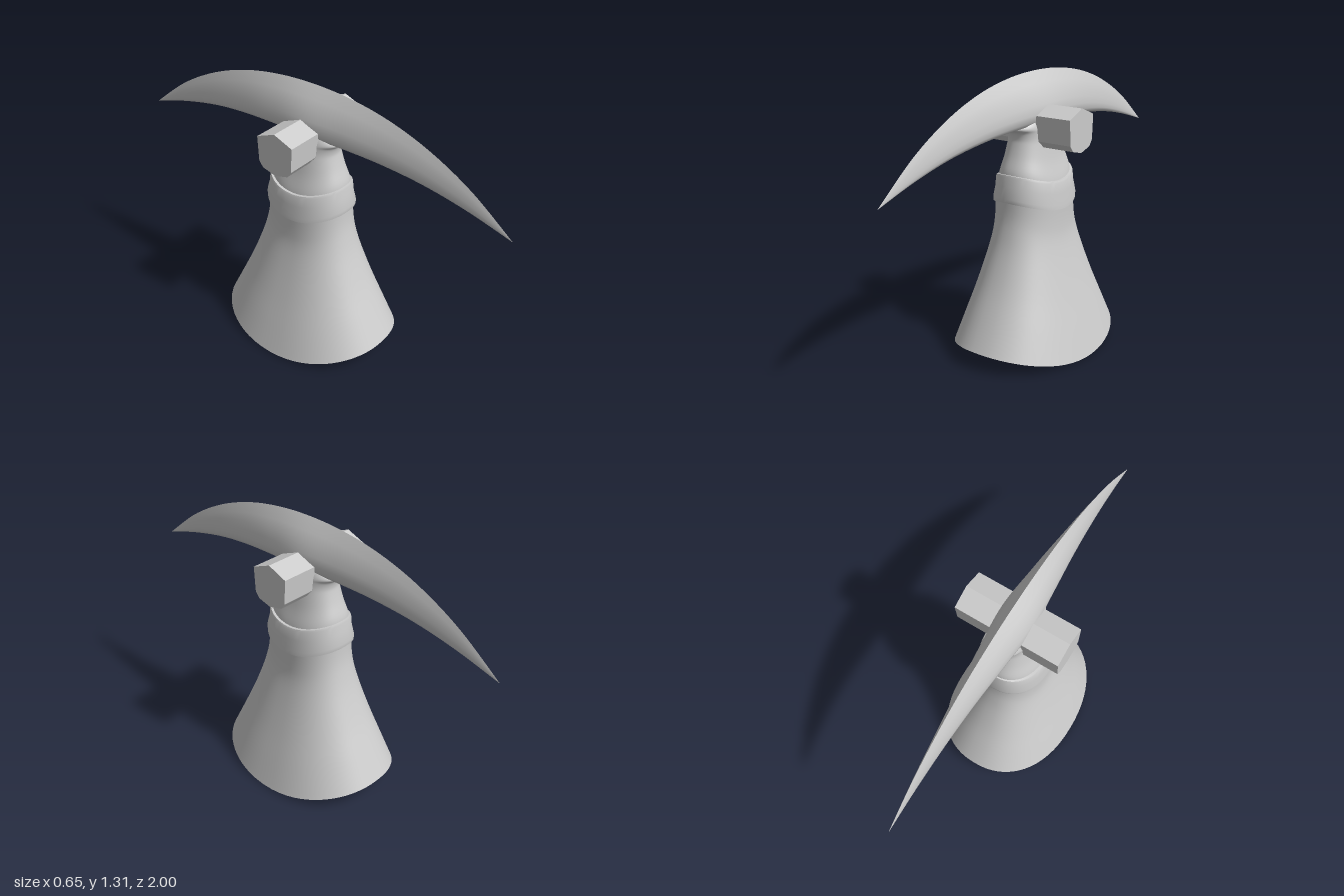
import * as THREE from 'three';
import { toCreasedNormals } from 'three/addons/utils/BufferGeometryUtils.js';

// Smooth interpolation through rows of numbers
function sample(knots, steps) {
  const out = [], last = knots.length - 1;
  for (let i = 0; i < last; i++) {
    const a = knots[Math.max(i - 1, 0)], b = knots[i], c = knots[i + 1], d = knots[Math.min(i + 2, last)];
    for (let s = 0; s < steps; s++) {
      const t = s / steps;
      out.push(b.map((v, k) => v + 0.5 * t * (c[k] - a[k]
        + t * (2 * a[k] - 5 * v + 4 * c[k] - d[k] + t * (3 * (v - c[k]) + d[k] - a[k])))));
    }
  }
  out.push(knots[last]);
  return out;
}

// Skin over successive cross-sections
function loft(rows, closed) {
  const n = rows[0].length, index = [];
  for (let i = 0; i < rows.length - 1; i++) {
    for (let j = 0; j < (closed ? n : n - 1); j++) {
      const k = (j + 1) % n, a = i * n + j, b = i * n + k;
      index.push(a, a + n, b, b, a + n, b + n);
    }
  }
  const geometry = new THREE.BufferGeometry();
  geometry.setAttribute('position', new THREE.Float32BufferAttribute(rows.flat(2), 3));
  geometry.setIndex(index);
  geometry.computeVertexNormals();
  return geometry;
}

// Squarish oval ring: half width, half depth, height at the sides, rise at front and back
function ring([hx, hz, y, lift], sides = 64) {
  const power = (v) => Math.sign(v) * Math.abs(v) ** 0.89;
  return Array.from({ length: sides }, (_, i) => {
    const a = (i / sides) * Math.PI * 2;
    const s = power(Math.sin(a));
    return [hx * power(Math.cos(a)), y + lift * Math.abs(s) ** 1.8, hz * s];
  });
}

export function createModel() {
  const group = new THREE.Group();
  const material = new THREE.MeshStandardMaterial({ color: 0xcccccc, side: THREE.DoubleSide });
  const add = (name, geometry) => {
    const mesh = new THREE.Mesh(geometry, material);
    mesh.name = name;
    group.add(mesh);
  };

  // Flared socket, open at the bottom
  const socket = [
    [0.327, 0.437, 0.002, 0.086], [0.285, 0.372, 0.14, 0.08], [0.24, 0.308, 0.285, 0.07],
    [0.195, 0.25, 0.44, 0.06], [0.168, 0.22, 0.55, 0.05], [0.16, 0.205, 0.63, 0.047], [0.159, 0.199, 0.72, 0.045],
  ];
  add('socket', loft(sample(socket, 4).map((r) => ring(r)), true));

  // Collar band with turned-in lips
  const collar = [
    [0.15, 0.19, 0.7, 0.045], [0.167, 0.212, 0.695, 0.045], [0.166, 0.215, 0.715, 0.045],
    [0.158, 0.201, 0.77, 0.042], [0.154, 0.198, 0.815, 0.04], [0.15, 0.195, 0.824, 0.04], [0.128, 0.17, 0.825, 0.04],
  ];
  add('collar', toCreasedNormals(loft(collar.map((r) => ring(r)), true), 0.6));

  // Neck that narrows, then flares under the blade
  const neck = [
    [0.142, 0.192, 0.8, 0.04], [0.135, 0.186, 0.84, 0.04], [0.116, 0.164, 0.91, 0.03], [0.103, 0.148, 0.98, 0.014],
    [0.097, 0.144, 1.02, 0], [0.094, 0.15, 1.048, 0], [0.089, 0.168, 1.068, 0], [0.083, 0.14, 1.1, 0], [0.06, 0.1, 1.16, 0],
  ];
  add('neck', loft(sample(neck, 4).map((r) => ring(r)), true));

  // Curved double-ended blade; knots hold z, top, bottom, half thickness
  const half = [
    [0, 1.307, 1.07, 0.081], [0.2, 1.295, 1.066, 0.064], [0.4, 1.256, 1.052, 0.043],
    [0.6, 1.184, 1.025, 0.026], [0.8, 1.074, 0.98, 0.012], [1, 0.92, 0.92, 0],
  ];
  const knots = [...half.slice(1).reverse().map(([z, ...rest]) => [-z, ...rest]), ...half];
  // Section from the sharp ridge down to the rounded underside: height, width
  const profile = [[1, 0], [0.78, 0.47], [0.6, 0.74], [0.41, 0.93], [0.25, 1], [0.12, 0.94], [0.04, 0.7], [0, 0.32]];
  const section = [...profile, [0, 0], ...profile.map(([h, w]) => [h, -w]).reverse()];
  add('blade', loft(sample(knots, 8).map(([z, top, bottom, width]) =>
    section.map(([h, w]) => [w * width, bottom + h * (top - bottom), z])), false));

  // Faceted crossbar through the head
  const side = [[0.095, 1.125], [0.088, 1.01], [0.068, 0.982]];
  const outline = [[0, 1.163], ...side, [0, 0.964], ...side.map(([z, y]) => [-z, y]).reverse()];
  const bar = new THREE.ExtrudeGeometry(
    new THREE.Shape(outline.map(([z, y]) => new THREE.Vector2(z, y))), { depth: 0.5, bevelEnabled: false });
  bar.translate(0, 0, -0.25).rotateY(Math.PI / 2);
  add('crossbar', bar);

  return group;
}
